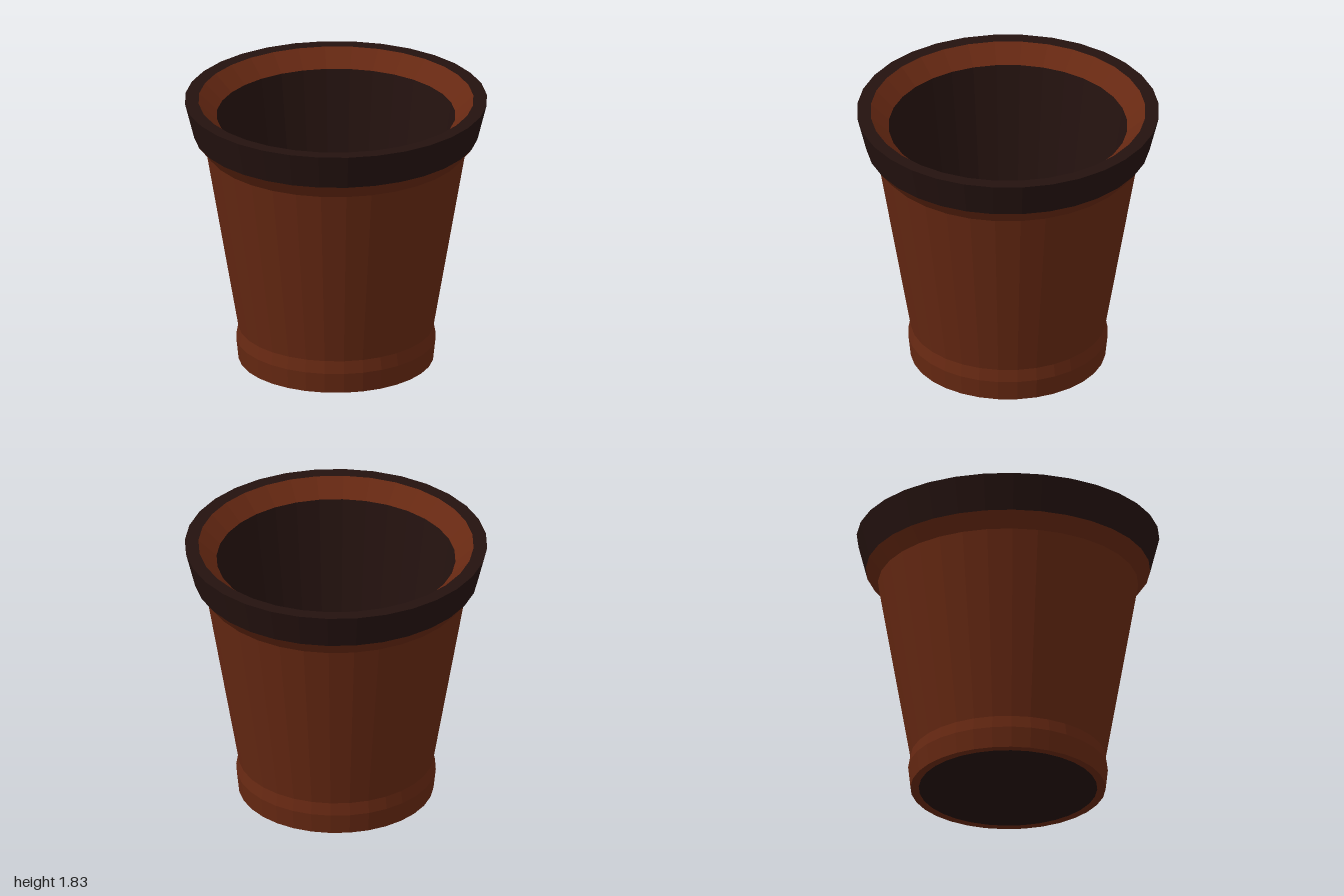
import * as THREE from 'three';

const SIDES = 32;
const clay = new THREE.MeshStandardMaterial({ color: 0x662812, flatShading: true });
const dark = new THREE.MeshStandardMaterial({ color: 0x24120f, flatShading: true });

export function createModel() {
  const pot = new THREE.Group();
  pot.name = 'flowerPot';

  // Each part is a turned band: [radius, height] points, running up the outside and down the inside
  const addBand = (name, material, profile) => {
    const points = profile.map(([r, y]) => new THREE.Vector2(r, y));
    const mesh = new THREE.Mesh(new THREE.LatheGeometry(points, SIDES), material);
    mesh.name = name;
    pot.add(mesh);
  };

  // Underside and foot
  addBand('underside', dark, [[0, 0], [0.59, 0]]);
  addBand('foot', clay, [[0.59, 0], [0.645, 0], [0.66, 0.14], [0.645, 0.225]]);

  // Tapered outer wall, flaring out under the rim
  addBand('outerWall', clay, [[0.645, 0.225], [0.86, 1.49], [0.94, 1.59]]);

  // Dark rim with its flat top
  addBand('rim', dark, [[0.94, 1.59], [1, 1.83], [0.91, 1.83]]);

  // Bevel inside the rim, inner wall and floor
  addBand('innerBevel', clay, [[0.91, 1.83], [0.79, 1.72]]);
  addBand('innerWall', dark, [[0.79, 1.72], [0.555, 0.24]]);
  addBand('floor', clay, [[0.555, 0.24], [0, 0.24]]);

  return pot;
}
